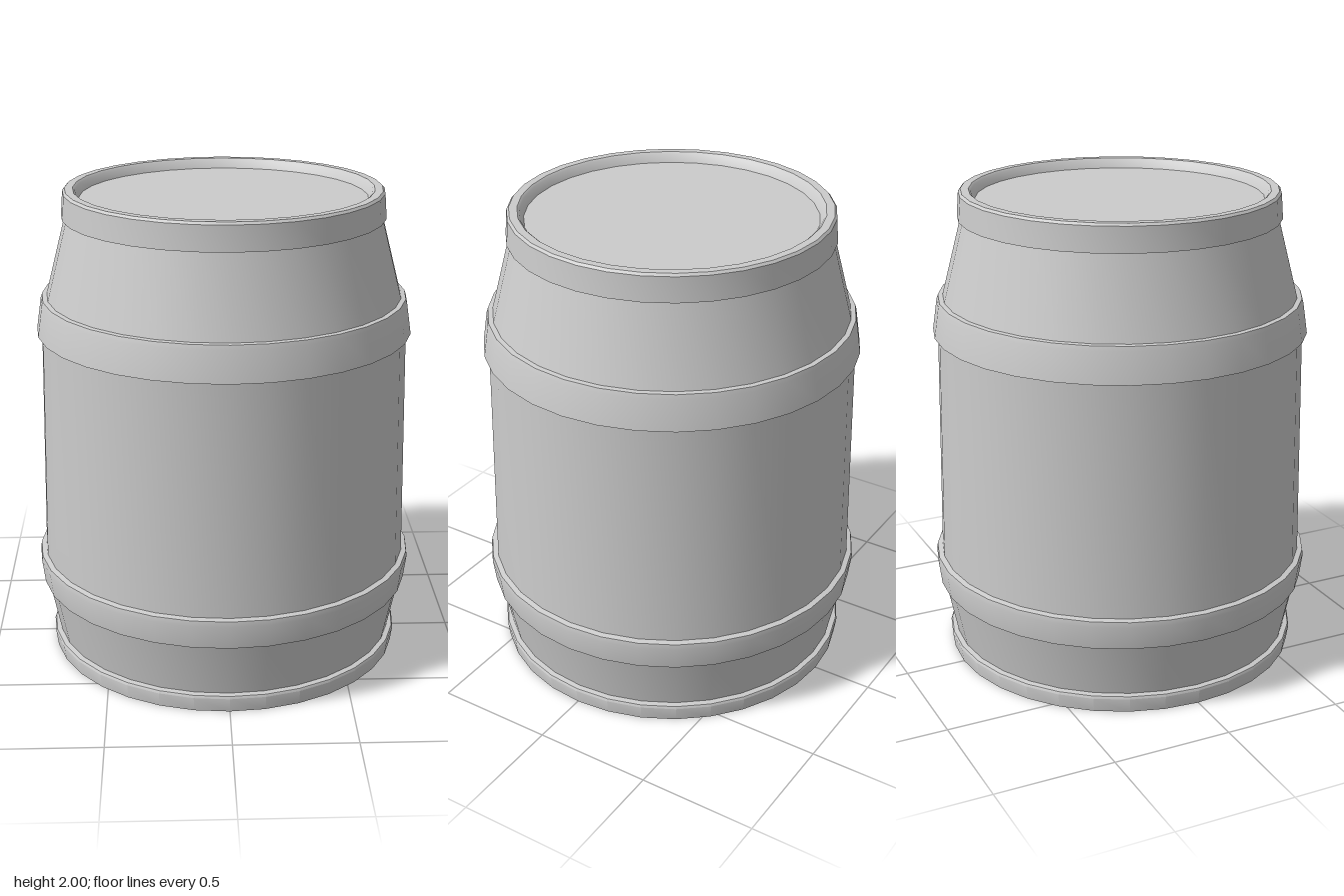
import * as THREE from 'three';
import { toCreasedNormals } from 'three/addons/utils/BufferGeometryUtils.js';

const SIDES = 32;

export function createModel() {
  const barrel = new THREE.Group();
  barrel.name = 'barrel';
  const material = new THREE.MeshStandardMaterial({ color: 0xcccccc });

  // Turns a profile of [radius, height] pairs, listed from bottom to top
  function turned(name, profile) {
    const points = profile.map(([r, y]) => new THREE.Vector2(r, y));
    const geometry = toCreasedNormals(new THREE.LatheGeometry(points, SIDES), 0.6);
    const mesh = new THREE.Mesh(geometry, material);
    mesh.name = name;
    barrel.add(mesh);
  }

  // Flat bottom and the foot ring
  turned('footRing', [[0, 0], [0.745, 0], [0.753, 0.06], [0.748, 0.07], [0.727, 0.074]]);

  // Tapered base below the lower band
  turned('base', [[0.727, 0.074], [0.775, 0.31]]);

  // Lower band
  turned('lowerBand', [[0.775, 0.31], [0.79, 0.31], [0.803, 0.41], [0.799, 0.432], [0.777, 0.437]]);

  // Main wall, narrowing slightly upwards
  turned('wall', [[0.777, 0.437], [0.76, 1.412]]);

  // Upper band
  turned('upperBand', [[0.76, 1.412], [0.78, 1.412], [0.761, 1.54], [0.755, 1.558], [0.735, 1.56]]);

  // Shoulder drawing in towards the lid
  turned('shoulder', [[0.735, 1.56], [0.65, 1.888]]);

  // Lid with a raised rim around a sunken disc
  turned('lid', [
    [0.65, 1.888], [0.665, 1.888], [0.657, 1.99], [0.648, 2],
    [0.615, 2], [0.606, 1.992], [0.59, 1.96], [0, 1.96],
  ]);

  return barrel;
}
